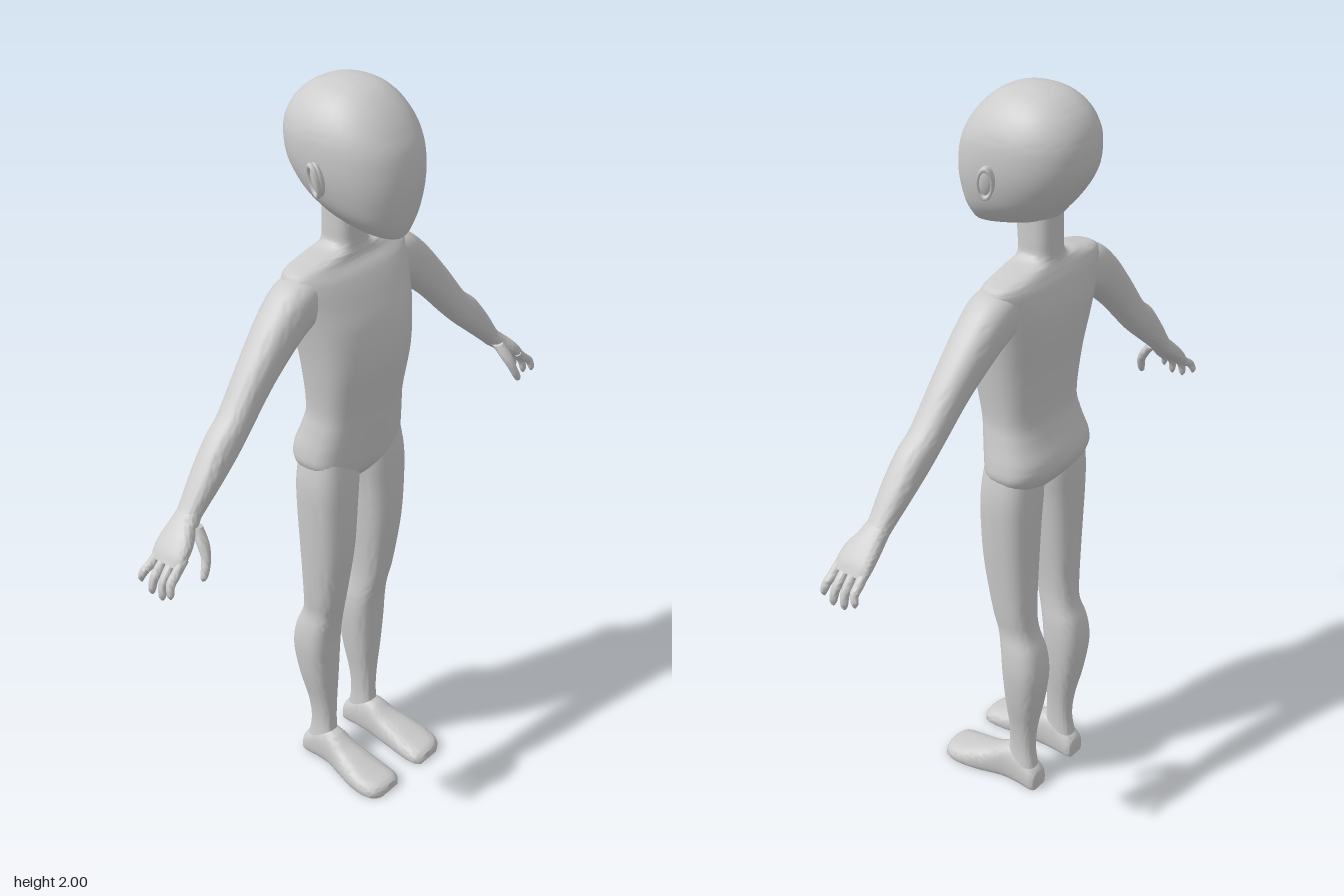
import * as THREE from 'three';
import { toCreasedNormals } from 'three/addons/utils/BufferGeometryUtils.js';

const material = new THREE.MeshStandardMaterial({ color: 0xcccccc });

// Smooth interpolation of a list of equal-length number rows
function refine(rows, steps) {
  const out = [];
  for (let i = 0; i < rows.length - 1; i++) {
    const a = rows[Math.max(i - 1, 0)], b = rows[i], c = rows[i + 1], d = rows[Math.min(i + 2, rows.length - 1)];
    for (let s = 0; s < steps; s++) {
      const t = s / steps;
      out.push(b.map((_, k) => b[k] + 0.5 * t * (c[k] - a[k]
        + t * (2 * a[k] - 5 * b[k] + 4 * c[k] - d[k] + t * (3 * (b[k] - c[k]) + d[k] - a[k])))));
    }
  }
  out.push(rows[rows.length - 1]);
  return out;
}

// Skin over superellipse sections: centre, half-axis u, half-axis v, exponent
function loft(name, rows, { side = 1, steps = 5, radial = 32, floor = -Infinity } = {}) {
  const rings = refine(rows, steps);
  const pos = [], idx = [];
  const put = (x, y, z) => pos.push(side * x, Math.max(y, floor), z);
  const tri = (a, b, c) => (side > 0 ? idx.push(a, b, c) : idx.push(a, c, b));
  const power = (v, n) => Math.sign(v) * Math.abs(v) ** (2 / n);
  for (const r of rings) {
    for (let j = 0; j < radial; j++) {
      const a = (j / radial) * Math.PI * 2;
      const p = power(Math.cos(a), r[9]), q = power(Math.sin(a), r[9]);
      put(...[0, 1, 2].map((k) => r[k] + p * r[3 + k] + q * r[6 + k]));
    }
  }
  const last = rings.length - 1;
  put(...rings[0]);
  put(...rings[last]);
  const start = rings.length * radial;
  for (let j = 0; j < radial; j++) {
    const k = (j + 1) % radial;
    for (let i = 0; i < last; i++) {
      const a = i * radial + j, b = i * radial + k;
      tri(a, b, b + radial);
      tri(a, b + radial, a + radial);
    }
    tri(start, k, j);
    tri(start + 1, last * radial + j, last * radial + k);
  }
  const g = new THREE.BufferGeometry();
  g.setAttribute('position', new THREE.Float32BufferAttribute(pos, 3));
  g.setIndex(idx);
  const mesh = new THREE.Mesh(toCreasedNormals(g, 0.8), material);
  mesh.name = name;
  return mesh;
}

// Upright form, rows: y, front z, back z, x from, x to, drop of the front edge
const upright = (name, rows, n, opts) => loft(name, rows.map(([y, f, b, x0, x1, drop = 0]) =>
  [(x0 + x1) / 2, y, (f + b) / 2, (x1 - x0) / 2, 0, 0, 0, drop / 2, (b - f) / 2, n]), opts);

// Limb bending in the xy plane, rows: x, y, z, half thickness, half depth
const limb = (name, rows, n, opts) => loft(name, rows.map(([x, y, z, r, d], i) => {
  const a = rows[Math.max(i - 1, 0)], b = rows[Math.min(i + 1, rows.length - 1)];
  const t = new THREE.Vector2(b[0] - a[0], b[1] - a[1]).normalize();
  return [x, y, z, 0, 0, d, t.y * r, -t.x * r, 0, n];
}), opts);

const symmetric = (rows) => rows.map(([y, f, b, w, drop]) => [y, f, b, -w, w, drop]);

export function createModel() {
  const model = new THREE.Group();
  model.name = 'figure';

  // Torso, running up through the shoulders into the neck
  model.add(upright('torsoAndNeck', symmetric([
    [0.955, 0.015, -0.08, 0.05], [0.985, 0.035, -0.108, 0.13], [1.02, 0.044, -0.13, 0.16],
    [1.06, 0.05, -0.134, 0.16], [1.12, 0.058, -0.113, 0.148], [1.18, 0.066, -0.102, 0.141],
    [1.3, 0.085, -0.113, 0.153], [1.4, 0.078, -0.128, 0.168], [1.47, 0.055, -0.132, 0.182],
    [1.53, 0.028, -0.124, 0.197], [1.56, 0.006, -0.113, 0.19], [1.578, 0, -0.105, 0.12],
    [1.592, -0.002, -0.101, 0.058], [1.64, 0, -0.1, 0.05], [1.74, 0.01, -0.1, 0.05],
  ]), 2.8));

  // Head: sloping jaw line, levelling out to a round crown
  model.add(upright('head', symmetric([
    [1.664, 0.105, -0.06, 0.02, 0.04], [1.668, 0.126, -0.095, 0.058, 0.045],
    [1.69, 0.136, -0.118, 0.085, 0.05], [1.73, 0.147, -0.15, 0.113, 0.05],
    [1.79, 0.156, -0.178, 0.133, 0.025], [1.85, 0.147, -0.188, 0.14, 0], [1.9, 0.124, -0.183, 0.135, 0],
    [1.945, 0.09, -0.16, 0.113, 0], [1.978, 0.05, -0.122, 0.08, 0], [1.994, 0.01, -0.08, 0.043, 0],
    [2, -0.03, -0.04, 0.005, 0],
  ]), 2.3, { radial: 40 }));

  for (const side of [1, -1]) {
    const label = side > 0 ? 'left' : 'right';
    const opts = { side };

    // Ear: shallow shell with a raised rim
    const ear = new THREE.Group();
    ear.name = label + 'Ear';
    const shell = new THREE.Mesh(new THREE.SphereGeometry(1, 20, 14), material);
    shell.name = 'earShell';
    shell.scale.set(0.013, 0.042, 0.021);
    const rim = new THREE.Mesh(new THREE.TorusGeometry(0.036, 0.007, 8, 28).rotateY(Math.PI / 2), material);
    rim.name = 'earRim';
    rim.scale.set(1, 1.05, 0.48);
    rim.position.x = side * 0.009;
    ear.add(shell, rim);
    ear.position.set(side * 0.145, 1.8, -0.004);
    ear.rotation.set(-0.1, side * 0.35, side * -0.15);
    model.add(ear);

    // Arm, shoulder to wrist
    model.add(limb(label + 'Arm', [
      [0.13, 1.512, -0.047, 0.05, 0.055], [0.18, 1.49, -0.047, 0.064, 0.06], [0.24, 1.448, -0.046, 0.058, 0.056],
      [0.33, 1.362, -0.041, 0.047, 0.047], [0.41, 1.273, -0.036, 0.04, 0.042], [0.46, 1.228, -0.033, 0.042, 0.042],
      [0.52, 1.167, -0.03, 0.034, 0.038], [0.575, 1.108, -0.028, 0.024, 0.031], [0.6, 1.083, -0.026, 0.022, 0.032],
    ], 2.5, opts));

    // Hand: palm, four fingers and thumb
    const hand = new THREE.Group();
    hand.name = label + 'Hand';
    hand.add(limb('palm', [
      [0.57, 1.112, -0.028, 0.022, 0.029], [0.6, 1.085, -0.024, 0.023, 0.036], [0.63, 1.06, -0.018, 0.021, 0.047],
      [0.655, 1.036, -0.016, 0.018, 0.05], [0.672, 1.016, -0.016, 0.013, 0.047],
    ], 2.6, opts));
    [[0.024, 0.034, 0.96], [0, 0.006, 0.944], [-0.025, -0.028, 0.946], [-0.05, -0.062, 0.966]].forEach(([z0, z1, tip], i) => {
      const mid = (1.025 + tip) / 2;
      hand.add(limb('finger' + (i + 1), [
        [0.65, 1.037, z0, 0.012, 0.012], [0.683, 1.008, z0 * 0.8 + z1 * 0.2, 0.012, 0.012],
        [0.702, mid, (z0 + z1) / 2, 0.011, 0.011], [0.709, tip + 0.012, z1, 0.009, 0.009],
        [0.709, tip, z1, 0.003, 0.003],
      ], 2, { side, radial: 12, steps: 4 }));
    });
    hand.add(limb('thumb', [
      [0.585, 1.085, 0, 0.016, 0.016], [0.592, 1.052, 0.026, 0.017, 0.015], [0.6, 1.02, 0.043, 0.012, 0.012],
      [0.612, 0.992, 0.05, 0.011, 0.01], [0.62, 0.977, 0.052, 0.008, 0.007], [0.623, 0.971, 0.052, 0.002, 0.002],
    ], 2, { side, radial: 14, steps: 4 }));
    model.add(hand);

    // Leg, ankle to hip
    model.add(upright(label + 'Leg', [
      [0.04, -0.012, -0.114, 0.056, 0.122], [0.12, -0.024, -0.1, 0.06, 0.112], [0.2, -0.025, -0.105, 0.055, 0.118],
      [0.3, -0.022, -0.125, 0.043, 0.138], [0.4, -0.018, -0.137, 0.036, 0.15], [0.47, -0.012, -0.128, 0.037, 0.147],
      [0.53, 0, -0.106, 0.044, 0.138], [0.6, 0.015, -0.1, 0.045, 0.145], [0.75, 0.037, -0.102, 0.034, 0.157],
      [0.88, 0.042, -0.105, 0.024, 0.165], [0.97, 0.04, -0.106, 0.015, 0.165], [1.06, 0.03, -0.1, 0.02, 0.15],
    ], 2.7, opts));

    // Foot, heel to toe, rows: z, inner x, outer x, height; flat sole
    model.add(loft(label + 'Foot', [
      [-0.122, 0.068, 0.106, 0.04], [-0.113, 0.055, 0.12, 0.062], [-0.06, 0.052, 0.122, 0.1],
      [-0.02, 0.05, 0.125, 0.108], [0.03, 0.045, 0.138, 0.08], [0.08, 0.04, 0.152, 0.062],
      [0.13, 0.036, 0.156, 0.046], [0.168, 0.039, 0.146, 0.036], [0.183, 0.052, 0.122, 0.026],
    ].map(([z, x0, x1, h]) =>
      [(x0 + x1) / 2, h / 2 - 0.008, z, (x1 - x0) / 2, 0, 0, 0, h / 2 + 0.008, 0, 2.6]), { side, floor: 0 }));
  }
  return model;
}
